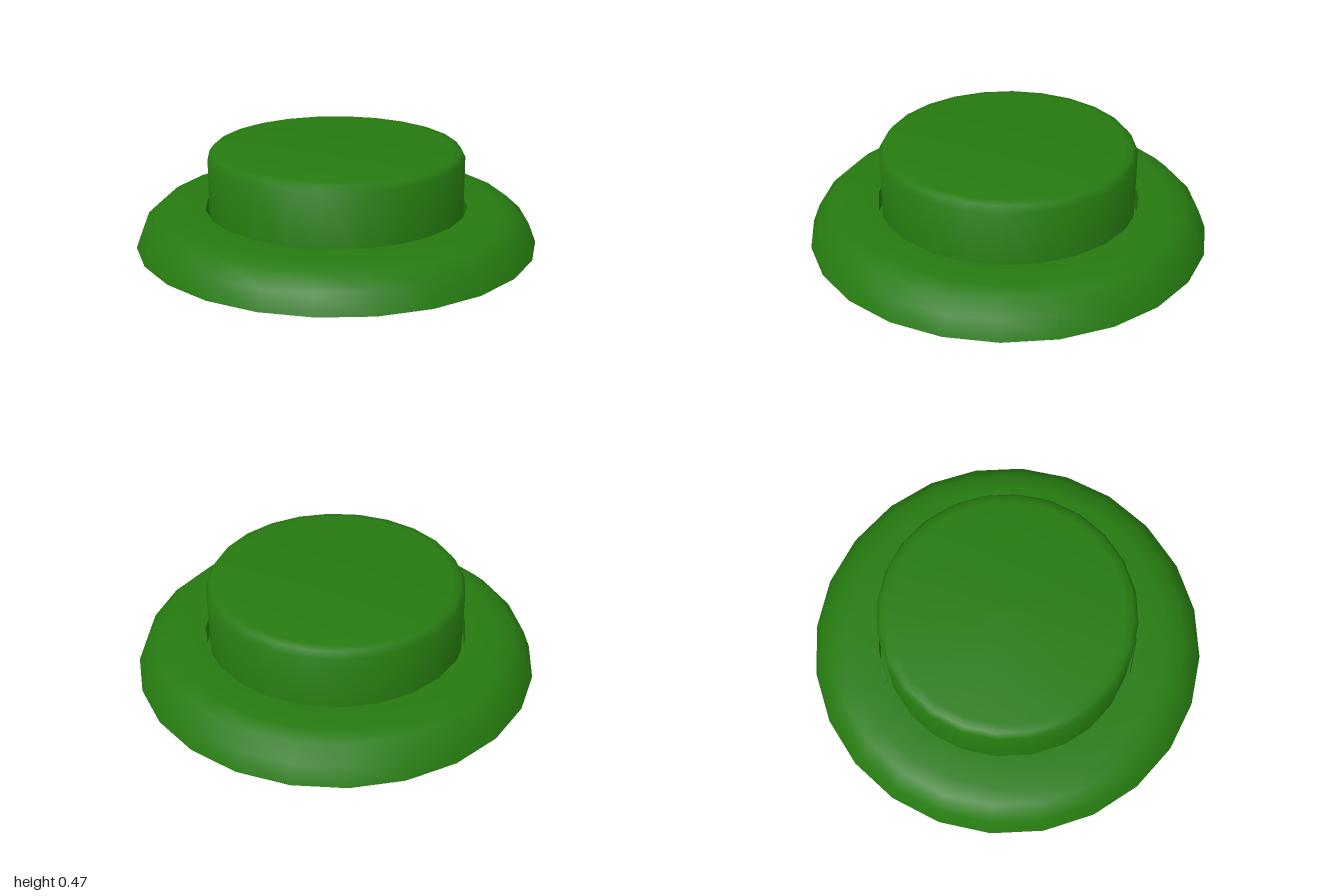
import * as THREE from 'three';
import { toCreasedNormals } from 'three/addons/utils/BufferGeometryUtils.js';

const SIDES = 24;
const material = new THREE.MeshStandardMaterial({ color: 0x267a10 });

// Turns a profile of [radius, height] pairs around the y axis
function turned(name, profile) {
  const points = profile.map(([r, y]) => new THREE.Vector2(r, y));
  const geometry = toCreasedNormals(new THREE.LatheGeometry(points, SIDES), 0.85);
  const mesh = new THREE.Mesh(geometry, material);
  mesh.name = name;
  return mesh;
}

export function createModel() {
  const group = new THREE.Group();
  group.name = 'pushButton';

  // Flange with a rounded shoulder, and a stepped hole that holds the cap
  group.add(turned('baseRing', [
    [0.6, 0], [1, 0], [0.963, 0.095], [0.893, 0.16], [0.81, 0.177],
    [0.655, 0.177], [0.655, 0.075], [0.6, 0.075], [0.6, 0],
  ]));

  // Solid cap with a small bevel, resting on the step of the hole
  group.add(turned('buttonCap', [
    [0, 0.077], [0.637, 0.077], [0.637, 0.435], [0.615, 0.465], [0.575, 0.472], [0, 0.472],
  ]));

  return group;
}
